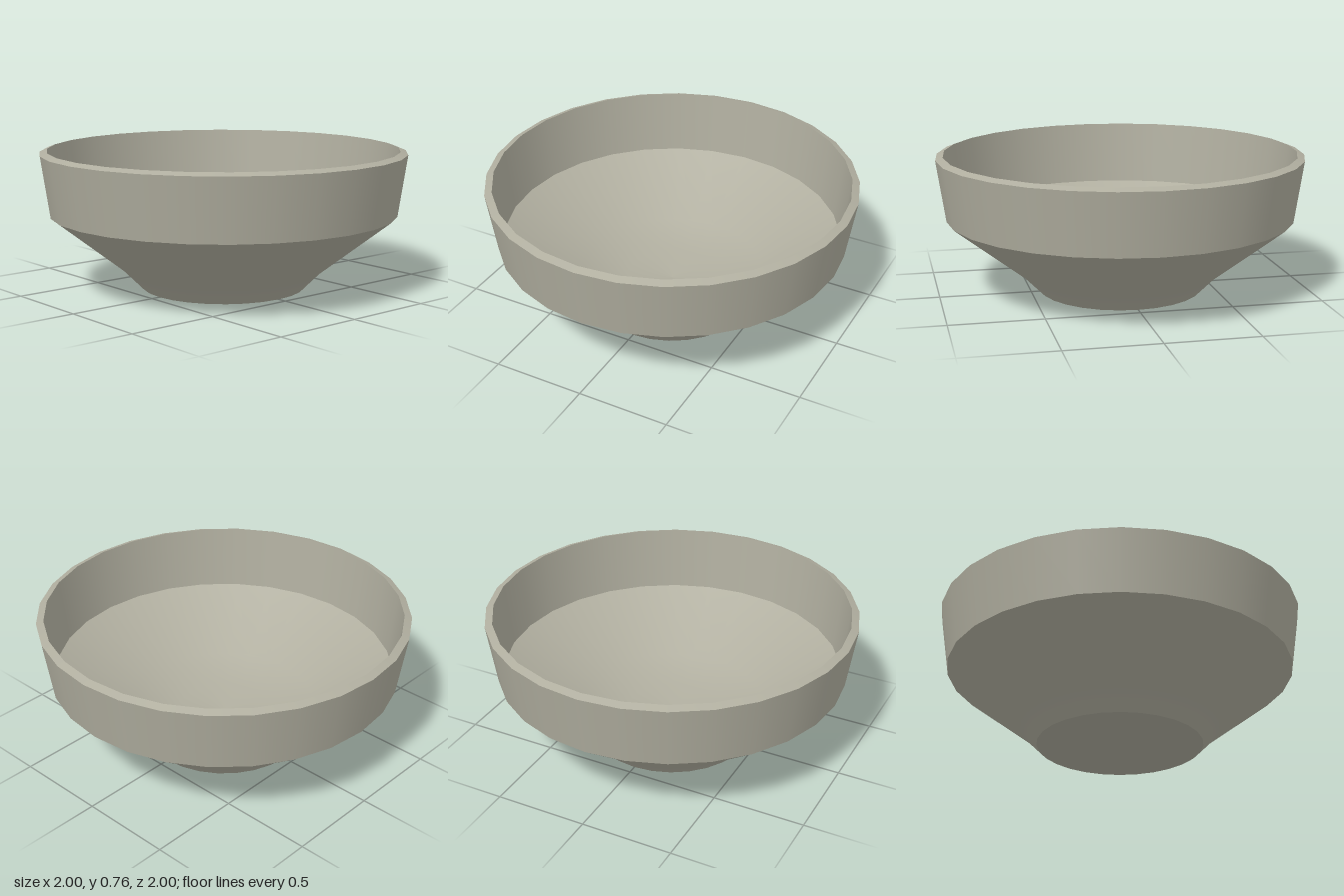
import * as THREE from 'three';

export function createModel() {
  const bowl = new THREE.Group();
  bowl.name = 'bowl';
  const clay = new THREE.MeshStandardMaterial({ color: 0xb0ae9f });
  clay.name = 'grey clay';

  // Each band is its own lathe, so edges between bands stay sharp.
  const band = (name, profile) => {
    const points = profile.map(([r, y]) => new THREE.Vector2(r, y));
    const mesh = new THREE.Mesh(new THREE.LatheGeometry(points, 28), clay);
    mesh.name = name;
    bowl.add(mesh);
  };

  // Outside, from the base up to the rim
  band('base', [[0, 0], [0.45, 0]]);
  band('lowerBody', [[0.45, 0], [0.56, 0.11], [0.95, 0.415]]);
  band('outerWall', [[0.95, 0.415], [1, 0.75]]);
  band('rim', [[1, 0.75], [0.96, 0.765]]);

  // Inside, from the rim down to the middle of the dished floor
  band('innerWall', [[0.96, 0.765], [0.92, 0.415]]);
  band('innerFloor', [[0.92, 0.415], [0.5, 0.18], [0.25, 0.12], [0, 0.1]]);

  return bowl;
}
